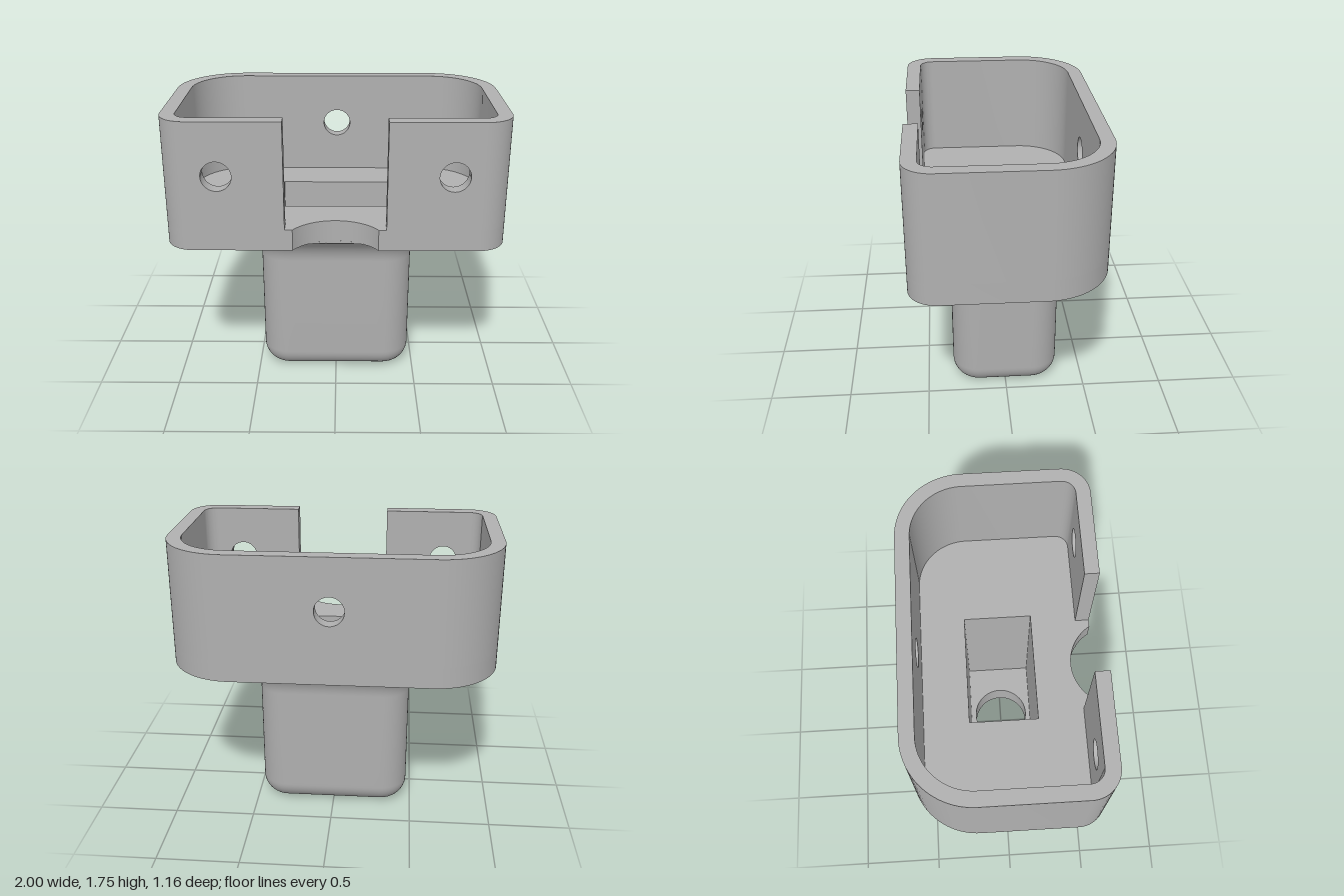
import * as THREE from 'three';
import { toCreasedNormals } from 'three/addons/utils/BufferGeometryUtils.js';

const V = (x, y) => new THREE.Vector2(x, y);
const Q = Math.PI / 2;

// Points on an arc, endpoints included
function arc(cx, cy, r, a0, a1, n = 16) {
  return Array.from({ length: n + 1 }, (_, i) => {
    const a = a0 + (a1 - a0) * i / n;
    return V(cx + r * Math.cos(a), cy + r * Math.sin(a));
  });
}
const rect = (x0, y0, x1, y1) => [V(x0, y0), V(x1, y0), V(x1, y1), V(x0, y1)];
const circle = (x, y, r) => arc(x, y, r, 0, 4 * Q, 48).slice(0, -1);

function extrude(outline, holes, depth) {
  const shape = new THREE.Shape(outline);
  shape.holes = holes.map(h => new THREE.Path(h));
  return new THREE.ExtrudeGeometry(shape, { depth, bevelEnabled: false });
}
// Plan outline in (x, z), raised from y0 to y1
function slab(outline, holes, y0, y1) {
  const g = extrude(outline, holes, y1 - y0).rotateX(Q).translate(0, y1, 0);
  return toCreasedNormals(g, 0.5);
}
// Upright panel outline in (x, y), running from z0 to z1
function panel(outline, holes, z0, z1) {
  return toCreasedNormals(extrude(outline, holes, z1 - z0).translate(0, 0, z0), 0.5);
}

// Main sizes
const BASE = 0.975, FLOOR = 1.105, TOP = 1.75;
const HZ = 0.58, WALL = 0.087, GAP = 0.295, BOLT_Y = 1.43, BOLT_R = 0.088;
const NOTCH_Z = 0.733, NOTCH_R = 0.293;
const STEM_X = 0.47, STEM_Z = 0.335, STEM_R = 0.17, ROUND = 0.13, FILLET = 0.19;
const POCKET_Y = 0.17, HOLE_R = 0.18;

// Stem cross-section grown by an offset, with subdivided straight edges
function stemRing(o, edge = 16) {
  const cx = STEM_X - STEM_R, cz = STEM_Z - STEM_R, r = STEM_R + o;
  const centres = [[cx, cz], [-cx, cz], [-cx, -cz], [cx, -cz]];
  const pts = [];
  centres.forEach(([x, z], k) => {
    const c = arc(x, z, r, k * Q, (k + 1) * Q, 12);
    pts.push(...c);
    const [nx, nz] = centres[(k + 1) % 4], a = (k + 1) * Q;
    const from = c[c.length - 1], to = V(nx + r * Math.cos(a), nz + r * Math.sin(a));
    for (let i = 1; i < edge; i++) pts.push(from.clone().lerp(to, i / edge));
  });
  return pts;
}

// Stem skin: rounded foot, straight sides, flare trimmed by the front notch
function stemSkin() {
  const profile = [];
  for (let i = 0; i <= 12; i++) {
    const a = Q * i / 12;
    profile.push([ROUND * (Math.sin(a) - 1), ROUND * (1 - Math.cos(a))]);
  }
  for (let i = 0; i <= 24; i++) {
    const a = Q * i / 24;
    profile.push([FILLET * (1 - Math.cos(a)), BASE - FILLET + FILLET * Math.sin(a)]);
  }
  const pos = [], index = [];
  let n = 0;
  profile.forEach(([o, y]) => {
    const ring = stemRing(o);
    n = ring.length;
    for (const p of ring) {
      let z = p.y;
      if (Math.abs(p.x) < NOTCH_R && z > 0) {
        z = Math.min(z, NOTCH_Z - Math.sqrt(NOTCH_R ** 2 - p.x ** 2));
      }
      pos.push(p.x, y, z);
    }
  });
  for (let j = 0; j < profile.length - 1; j++) {
    for (let i = 0; i < n; i++) {
      const a = j * n + i, b = j * n + (i + 1) % n;
      index.push(a, a + n, b, b, a + n, b + n);
    }
  }
  const g = new THREE.BufferGeometry();
  g.setAttribute('position', new THREE.Float32BufferAttribute(pos, 3));
  g.setIndex(index);
  return toCreasedNormals(g, 0.6);
}

export function createModel() {
  const model = new THREE.Group();
  model.name = 'bracketHolder';
  const grey = new THREE.MeshStandardMaterial({ color: 0xb0b0b0 });
  grey.name = 'plainGrey';
  const add = (name, geometry) => {
    const m = new THREE.Mesh(geometry, grey);
    m.name = name;
    model.add(m);
  };

  // Outer corner run of one side: large rear radius, small front radius
  const rim = t => [...arc(0.6, -0.18, 0.4 - t, -Q, 0, 24), ...arc(0.83, 0.41, 0.17 - t, 0, Q)];
  const mirror = (pts, s) => pts.map(p => V(p.x * s, p.y));

  // Tray floor with curved front notch and pocket opening
  const half = Math.asin(0.25 / NOTCH_R);
  const notch = arc(0, NOTCH_Z, NOTCH_R, -Q + half, -Q - half, 32);
  const pocket = rect(-0.345, -0.213, 0.345, 0.21);
  add('trayFloor', slab([...rim(0), ...notch, ...mirror(rim(0), -1).reverse()], [pocket], BASE, FLOOR));

  // Tray walls: rear panel, then mirrored sides and front panels
  add('rearWall', panel(rect(-0.6, FLOOR, 0.6, TOP), [circle(0, BOLT_Y, BOLT_R)], -HZ, -HZ + WALL));
  for (const [s, side] of [[1, 'left'], [-1, 'right']]) {
    const wall = [...rim(0), ...rim(WALL).reverse()];
    add(side + 'SideWall', slab(mirror(wall, s), [], FLOOR, TOP));
    add(side + 'FrontWall', panel(mirror(rect(GAP, FLOOR, 0.83, TOP), s),
      [circle(s * 0.675, BOLT_Y, BOLT_R)], HZ - WALL, HZ));
  }

  // Hollow stem: skin, pierced foot, pocket floor and pocket walls
  add('stem', stemSkin());
  add('stemFoot', slab(stemRing(-ROUND, 1), [circle(0, 0, HOLE_R)], 0, ROUND));
  const block = rect(-0.37, -0.235, 0.37, 0.235);
  add('pocketFloor', slab(block, [circle(0, 0, HOLE_R)], ROUND, POCKET_Y));
  add('pocketWalls', slab(block, [pocket], POCKET_Y, BASE));

  return model;
}
